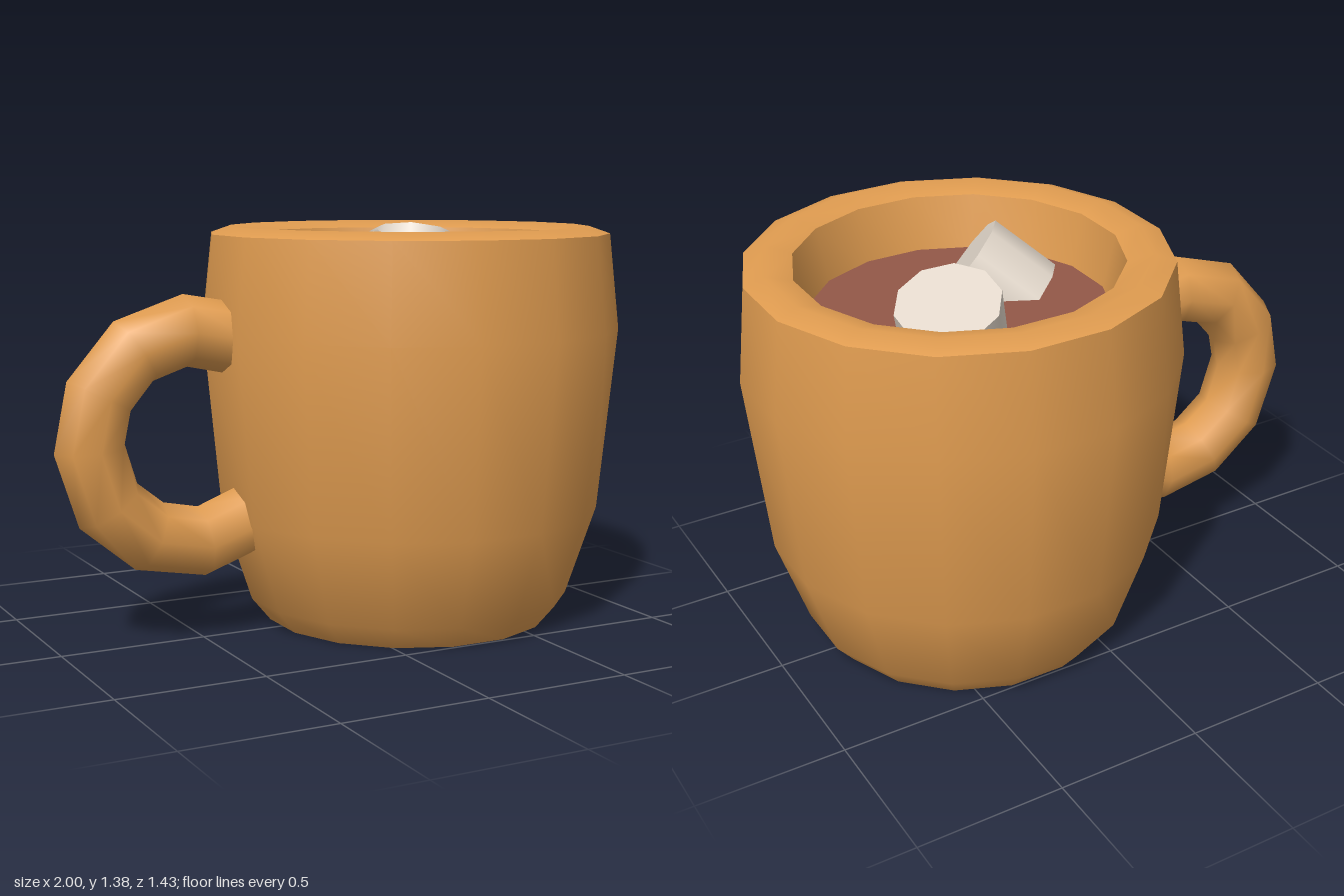
import * as THREE from 'three';
import { toCreasedNormals } from 'three/addons/utils/BufferGeometryUtils.js';

const CUP_X = 0.285;
const SIDES = 16;
const CORNER = 1 / Math.cos(Math.PI / SIDES); // flat radius to corner radius

function flatMaterial(name, color) {
  const m = new THREE.MeshStandardMaterial({ color });
  m.name = name;
  return m;
}

// Tube with a ring at every point of a path lying in the xy plane
function planarTube(path, radius, sides, z) {
  const pos = [], idx = [];
  path.forEach(([x, y], i) => {
    const a = path[Math.max(i - 1, 0)], b = path[Math.min(i + 1, path.length - 1)];
    const t = new THREE.Vector2(b[0] - a[0], b[1] - a[1]).normalize();
    for (let j = 0; j < sides; j++) {
      const ang = (j / sides) * Math.PI * 2;
      const out = radius * Math.cos(ang);
      pos.push(x + t.y * out, y - t.x * out, z + radius * Math.sin(ang));
    }
  });
  for (let i = 0; i < path.length - 1; i++) {
    for (let j = 0; j < sides; j++) {
      const k = (j + 1) % sides;
      const a = i * sides + j, c = i * sides + k;
      idx.push(a, a + sides, c, c, a + sides, c + sides);
    }
  }
  const g = new THREE.BufferGeometry();
  g.setAttribute('position', new THREE.Float32BufferAttribute(pos, 3));
  g.setIndex(idx);
  g.computeVertexNormals();
  return g;
}

export function createModel() {
  const group = new THREE.Group();
  group.name = 'mug';
  const clay = flatMaterial('orange clay', 0xe09c50);
  const cocoa = flatMaterial('cocoa', 0x935848);
  const white = flatMaterial('marshmallow white', 0xe2d7ca);

  const add = (name, geometry, material) => {
    const mesh = new THREE.Mesh(geometry, material);
    mesh.name = name;
    group.add(mesh);
    return mesh;
  };

  // Cup: closed base, barrel wall, rounded rim and inner wall
  const profile = [
    [0, 0], [0.49, 0], [0.555, 0.08], [0.655, 0.39], [0.715, 1.02],
    [0.68, 1.345], [0.61, 1.37], [0.525, 1.345], [0.48, 1.14],
  ].map(([r, y]) => new THREE.Vector2(r * CORNER, y));
  const cup = toCreasedNormals(new THREE.LatheGeometry(profile, SIDES, Math.PI / SIDES), 0.72);
  add('cup', cup, clay).position.x = CUP_X;

  // Drink surface
  const drink = new THREE.CircleGeometry(0.487 * CORNER, SIDES, Math.PI / SIDES);
  drink.rotateX(-Math.PI / 2);
  add('drink', drink, cocoa).position.set(CUP_X, 1.165, 0);

  // Handle: ends are buried in the cup wall
  const path = [
    [-0.34, 1.0], [-0.55, 1.04], [-0.73, 0.98], [-0.85, 0.84], [-0.885, 0.67],
    [-0.825, 0.48], [-0.685, 0.365], [-0.5, 0.33], [-0.28, 0.41],
  ];
  add('handle', planarTube(path, 0.12, 8, -0.01), clay);

  // Marshmallows: placed by the centre of the upper end and the axis it faces
  const marshmallow = (name, end, axis, radius, length) => {
    const g = new THREE.CylinderGeometry(radius, radius, length, 10);
    g.translate(0, -length / 2, 0);
    const mesh = add(name, g, white);
    mesh.position.set(...end);
    mesh.quaternion.setFromUnitVectors(
      new THREE.Vector3(0, 1, 0), new THREE.Vector3(...axis).normalize());
  };
  marshmallow('uprightMarshmallow', [0.445, 1.315, -0.225], [0.25, 0.93, -0.27], 0.17, 0.28);
  marshmallow('leaningMarshmallow', [0.162, 1.235, 0.184], [0.64, 0.6, 0.48], 0.165, 0.25);

  return group;
}
